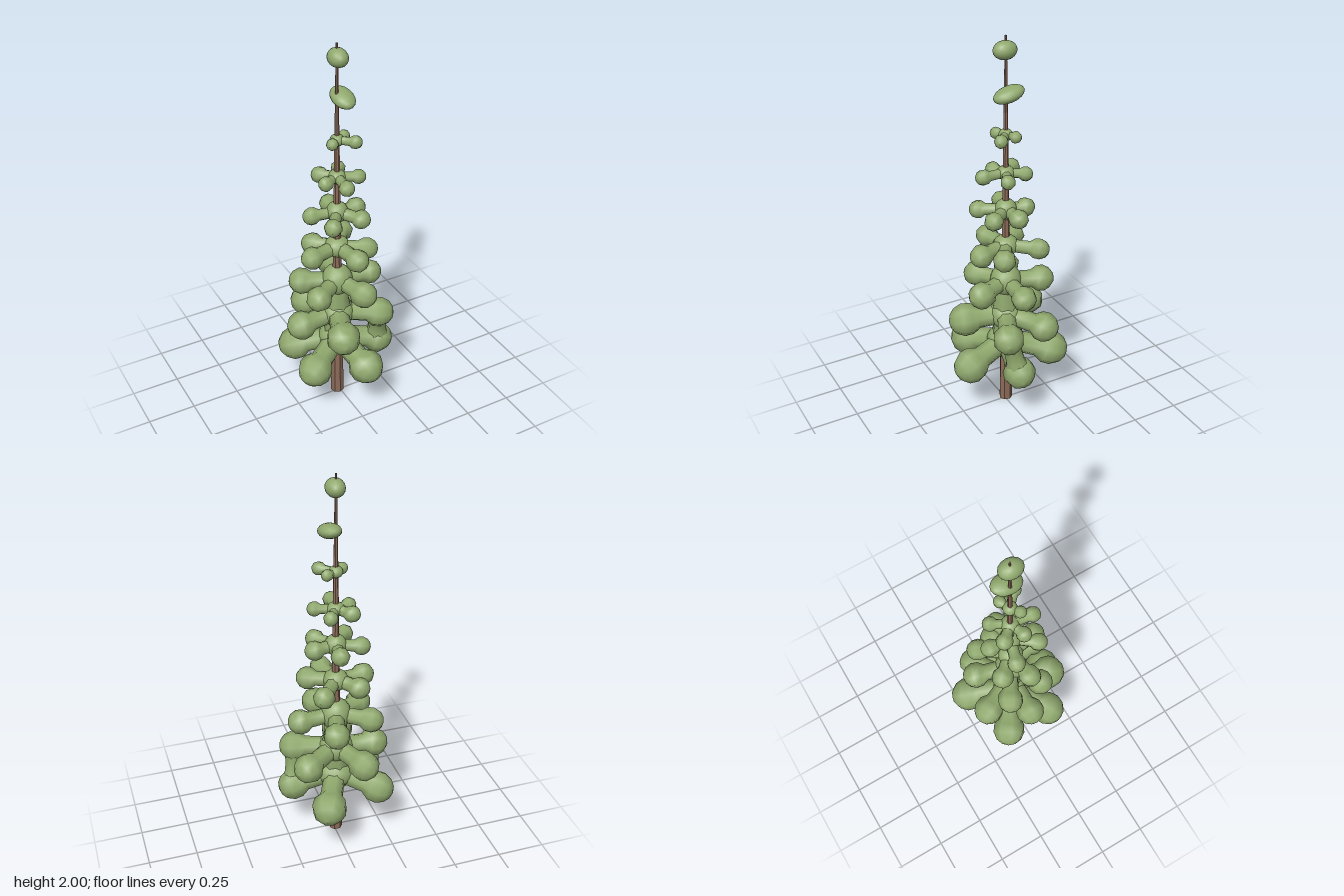
import * as THREE from 'three';

const TRUNK_X = -0.01, TRUNK_Z = -0.01;

// Each tier: height of the hub, drop of the knobs, hub radius and height, knobs as [x, z, radius]
const TIERS = [
  { y: 0.37, drop: 0.065, hub: 0.1, tall: 0.08, knobs: [[0.09, -0.22, 0.092], [0.205, 0.03, 0.085], [0.035, 0.215, 0.092], [-0.205, 0.115, 0.09], [-0.2, -0.13, 0.088]] },
  { y: 0.53, drop: 0.02, hub: 0.09, tall: 0.08, knobs: [[-0.1, -0.195, 0.08], [0.17, -0.13, 0.078], [0.185, 0.08, 0.08], [-0.08, 0.185, 0.088], [-0.215, -0.01, 0.076]] },
  { y: 0.73, drop: 0.015, hub: 0.08, tall: 0.085, knobs: [[0.175, -0.01, 0.065], [0.04, -0.185, 0.068], [-0.165, -0.1, 0.068], [-0.16, 0.08, 0.066], [0.05, 0.155, 0.07]] },
  { y: 0.93, drop: 0.01, hub: 0.065, tall: 0.055, knobs: [[0.09, -0.14, 0.056], [-0.1, -0.105, 0.056], [-0.16, 0.015, 0.058], [0.115, 0.065, 0.058], [0.02, 0.14, 0.06]] },
  { y: 1.13, drop: 0.01, hub: 0.055, tall: 0.055, knobs: [[0.1, -0.02, 0.05], [0.0, -0.115, 0.048], [-0.13, -0.045, 0.046], [-0.09, 0.1, 0.046], [0.065, 0.095, 0.048]] },
  { y: 1.325, drop: 0.005, hub: 0.045, tall: 0.035, knobs: [[0.04, -0.09, 0.037], [0.085, 0.03, 0.037], [-0.02, 0.105, 0.04], [-0.085, 0.02, 0.038], [-0.07, -0.075, 0.042]] },
  { y: 1.52, drop: 0, hub: 0.035, tall: 0.03, knobs: [[0.055, 0.05, 0.034], [0.04, -0.035, 0.03], [-0.05, 0.02, 0.03]] },
];

export function createModel() {
  const tree = new THREE.Group();
  tree.name = 'pineTree';
  const bark = new THREE.MeshStandardMaterial({ name: 'bark brown', color: 0x8c6a58, flatShading: true });
  const needles = new THREE.MeshStandardMaterial({ name: 'needle green', color: 0x90a96e });

  const add = (geometry, material, name, parent, x = 0, y = 0, z = 0) => {
    const mesh = new THREE.Mesh(geometry, material);
    mesh.name = name;
    mesh.position.set(x, y, z);
    parent.add(mesh);
    return mesh;
  };
  const lathe = (points, sides) =>
    new THREE.LatheGeometry(points.map(([r, h]) => new THREE.Vector2(r, h)), sides);
  const clump = (name, parent, x, y, z, sx, sy, sz) => {
    const mesh = add(new THREE.IcosahedronGeometry(1, 2), needles, name, parent, x, y, z);
    mesh.scale.set(sx, sy, sz);
    return mesh;
  };

  // A bough: lathe with a narrow neck and a fat knob whose centre is at "end"
  const bough = (start, end, r, parent) => {
    const dir = end.clone().sub(start), d = dir.length();
    const neck = Math.min(r * 0.62, d * 0.4);
    const profile = [[neck * 1.15, 0], [neck, d * 0.35]];
    for (const a of [-50, -20, 10, 40, 65]) {
      const t = THREE.MathUtils.degToRad(a);
      profile.push([r * Math.cos(t), Math.max(d + r * Math.sin(t), d * 0.4)]);
    }
    profile.push([0, d + r]);
    const mesh = add(lathe(profile, 8), needles, 'bough', parent, start.x, start.y, start.z);
    mesh.quaternion.setFromUnitVectors(new THREE.Vector3(0, 1, 0), dir.normalize());
  };

  // Tapered trunk running to the tip
  add(new THREE.CylinderGeometry(0.005, 0.035, 2, 7), bark, 'trunk', tree, TRUNK_X, 1, TRUNK_Z);

  // Tiers of boughs around the trunk
  TIERS.forEach((tier, i) => {
    const group = new THREE.Group();
    group.name = 'tier' + (i + 1);
    tree.add(group);
    clump('hub', group, TRUNK_X, tier.y, TRUNK_Z, tier.hub, tier.tall, tier.hub);
    const start = new THREE.Vector3(TRUNK_X, tier.y, TRUNK_Z);
    for (const [x, z, r] of tier.knobs) bough(start, new THREE.Vector3(x, tier.y - tier.drop, z), r, group);
  });

  // Foliage core joining the three lowest tiers
  const core = [[0, 0.27], [0.06, 0.29], [0.085, 0.38], [0.065, 0.45], [0.085, 0.53], [0.06, 0.62], [0.065, 0.71], [0.045, 0.79], [0, 0.815]];
  add(lathe(core, 8), needles, 'foliageCore', tree, TRUNK_X, 0, TRUNK_Z);

  // Hanging link between a second-tier knob and the knob below it
  const link = add(lathe([[0.07, -0.1], [0.05, -0.03], [0.048, 0.03], [0.065, 0.1]], 8), needles, 'foliageLink', tree, 0.195, 0.41, 0.055);
  link.rotation.set(0.2, 0, 0.1);

  // Single clumps near the tip
  const upper = clump('upperClump', tree, 0.02, 1.73, -0.01, 0.055, 0.036, 0.08);
  upper.rotation.x = 0.25;
  clump('topClump', tree, -0.008, 1.932, -0.005, 0.047, 0.045, 0.06);

  return tree;
}
